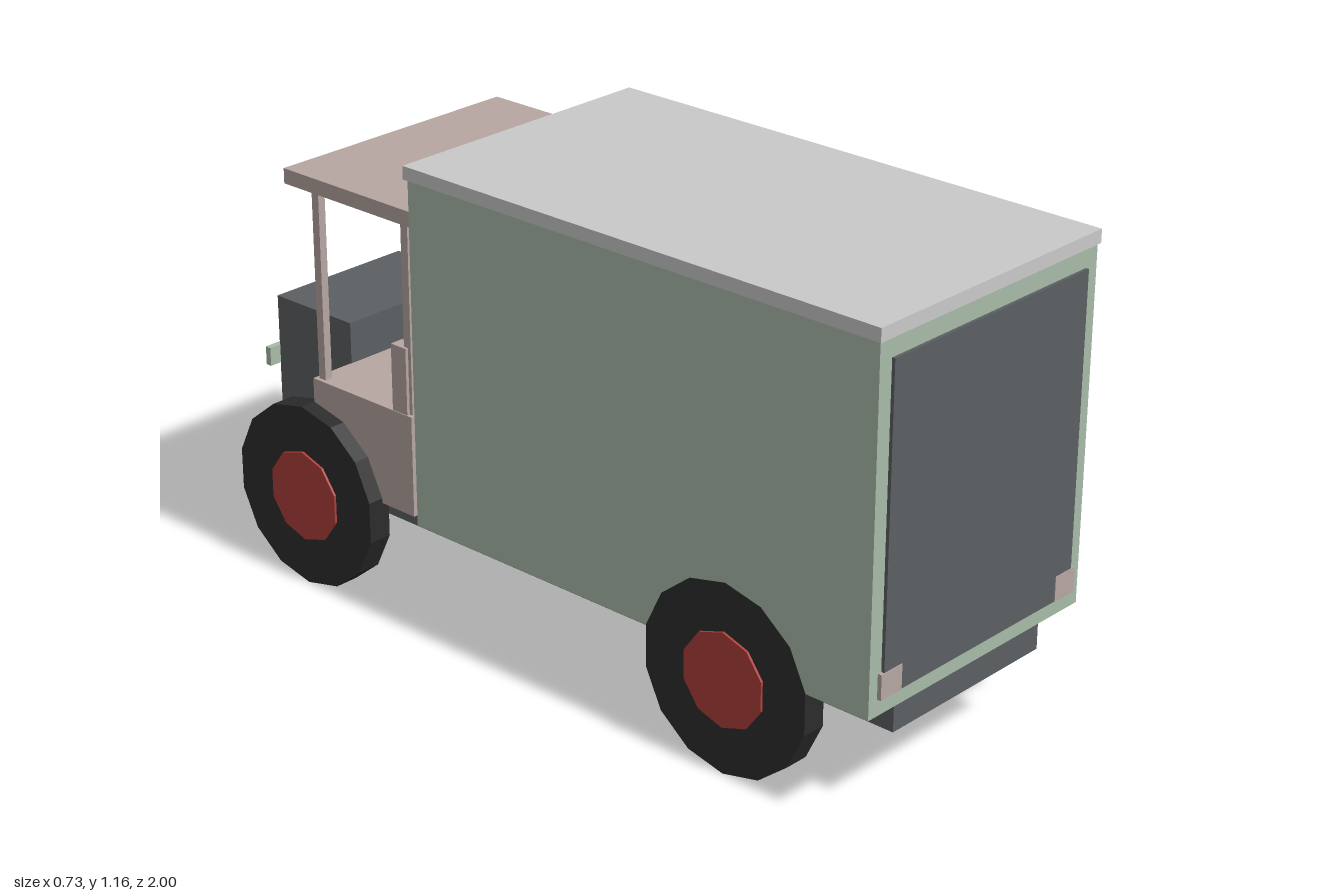
import * as THREE from 'three';

const paint = (name, color) => {
  const m = new THREE.MeshStandardMaterial({ color });
  m.name = name;
  return m;
};

export function createModel() {
  const truck = new THREE.Group();
  truck.name = 'deliveryTruck';
  const green = paint('sageGreen', 0xa9bba9);
  const grey = paint('roofGrey', 0xc9c9c9);
  const tan = paint('dustyTan', 0xb6a6a2);
  const slate = paint('slate', 0x5b5f62);
  const rubber = paint('rubber', 0x2c2c2c);
  const red = paint('hubRed', 0xae403b);

  // Box given by its low and high limits on each axis
  const block = (name, mat, [x0, x1], [y0, y1], [z0, z1]) => {
    const mesh = new THREE.Mesh(new THREE.BoxGeometry(x1 - x0, y1 - y0, z1 - z0), mat);
    mesh.position.set((x0 + x1) / 2, (y0 + y1) / 2, (z0 + z1) / 2);
    mesh.name = name;
    truck.add(mesh);
  };
  const centred = (name, mat, halfX, y, z) => block(name, mat, [-halfX, halfX], y, z);
  const pair = (name, mat, [x0, x1], y, z) => {
    block(name + 'Left', mat, [x0, x1], y, z);
    block(name + 'Right', mat, [-x1, -x0], y, z);
  };

  // Chassis and cargo box
  centred('chassis', slate, 0.25, [0.195, 0.277], [-0.95, 0.97]);
  centred('cargoBox', green, 0.36, [0.275, 1.12], [-0.343, 0.99]);
  centred('cargoRoof', grey, 0.365, [1.12, 1.152], [-0.353, 0.995]);
  centred('cargoDoor', slate, 0.322, [0.315, 1.075], [0.99, 0.998]);
  pair('doorCorner', tan, [0.265, 0.333], [0.315, 0.375], [0.99, 1.0]);

  // Open cab with bench back, posts and canopy
  centred('cabBody', tan, 0.32, [0.265, 0.517], [-0.73, -0.397]);
  centred('benchBack', tan, 0.318, [0.517, 0.683], [-0.46, -0.412]);
  pair('rearPost', tan, [0.29, 0.31], [0.517, 1.002], [-0.425, -0.403]);
  pair('frontPost', tan, [0.29, 0.31], [0.517, 1.002], [-0.72, -0.698]);
  centred('cabRoof', tan, 0.345, [1.0, 1.037], [-0.773, -0.353]);

  // Hood, grille and lamps
  centred('hood', slate, 0.2, [0.267, 0.62], [-0.985, -0.728]);
  centred('grille', tan, 0.172, [0.31, 0.58], [-0.991, -0.984]);
  pair('lamp', green, [0.168, 0.232], [0.445, 0.492], [-1.0, -0.984]);

  // Wheels: faceted tyres with a raised outer hub
  const disc = (name, mat, radius, sides, width) => {
    // a flat side rests at the bottom
    const geo = new THREE.CylinderGeometry(radius, radius, width, sides).toNonIndexed();
    geo.rotateY(Math.PI / 2);
    geo.rotateZ(Math.PI / 2);
    geo.computeVertexNormals();
    const mesh = new THREE.Mesh(geo, mat);
    mesh.name = name;
    return mesh;
  };
  for (const [axle, z] of [['front', -0.73], ['rear', 0.597]]) {
    for (const [side, s] of [['Left', 1], ['Right', -1]]) {
      const wheel = new THREE.Group();
      wheel.name = axle + side + 'Wheel';
      const tyre = disc('tyre', rubber, 0.231, 14, 0.061);
      const hub = disc('hub', red, 0.115, 10, 0.02);
      tyre.position.x = s * 0.3305;
      hub.position.x = s * 0.357;
      wheel.add(tyre, hub);
      wheel.position.set(0, 0.2255, z);
      truck.add(wheel);
    }
  }
  return truck;
}
